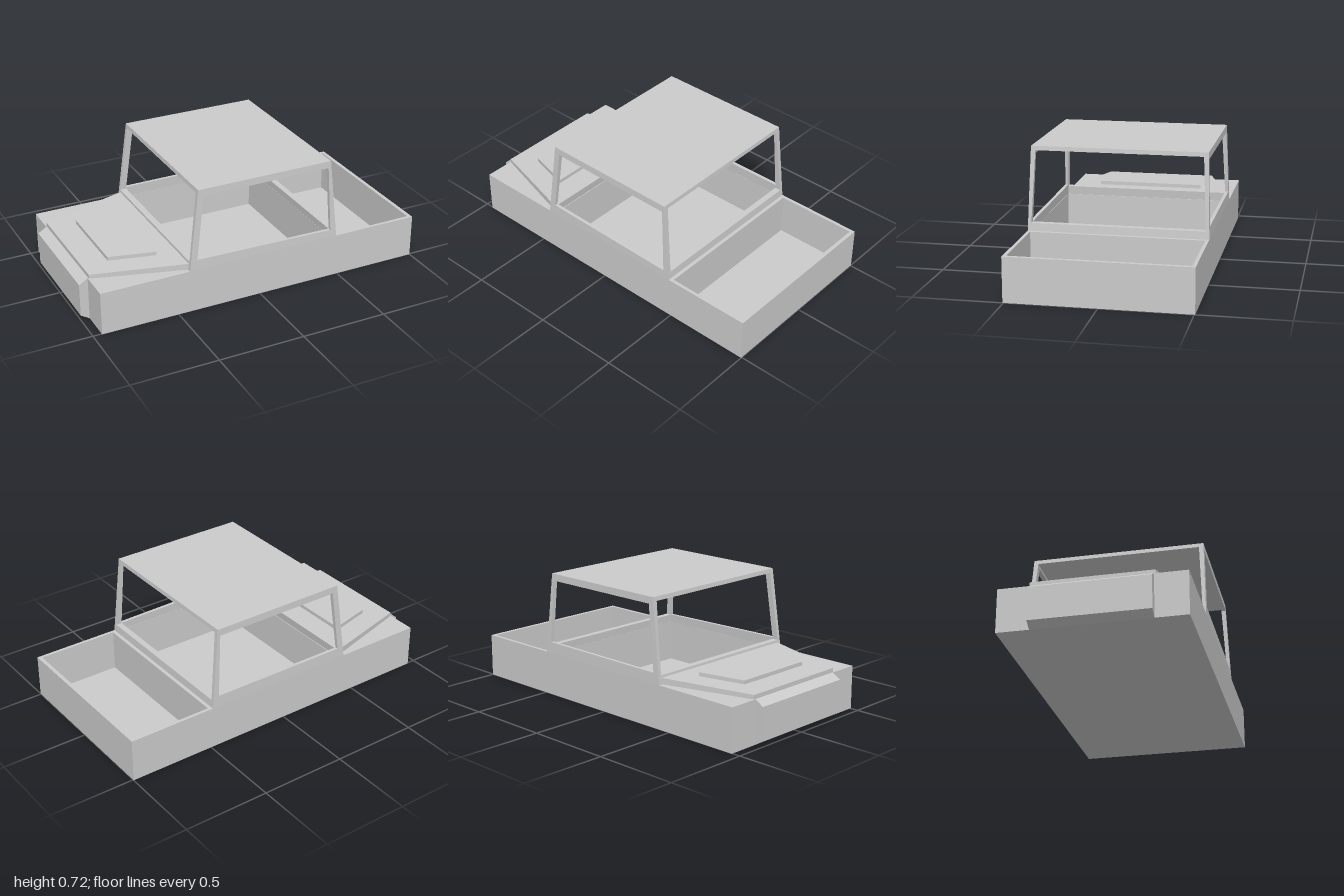
import * as THREE from 'three';

const material = new THREE.MeshStandardMaterial({ color: 0xcccccc, flatShading: true });

// Four corners, counter-clockwise from above; height and width vary along x.
const ring = (x0, x1, y0, y1, lo0, hi0, lo1 = lo0, hi1 = hi0) =>
  [[x0, y0, hi0], [x1, y1, hi1], [x1, y1, lo1], [x0, y0, lo0]];

// Six-sided solid between two rings.
function block(name, bottom, top) {
  const pos = [];
  const face = (a, b, c, d) => pos.push(...a, ...b, ...c, ...a, ...c, ...d);
  face(...top);
  face(...[...bottom].reverse());
  for (let i = 0; i < 4; i++) {
    const j = (i + 1) % 4;
    face(bottom[i], bottom[j], top[j], top[i]);
  }
  const g = new THREE.BufferGeometry();
  g.setAttribute('position', new THREE.Float32BufferAttribute(pos, 3));
  g.computeVertexNormals();
  const m = new THREE.Mesh(g, material);
  m.name = name;
  return m;
}

function rectangle(PathType, x0, x1, z) {
  const p = new PathType();
  p.moveTo(x0, -z);
  p.lineTo(x1, -z);
  p.lineTo(x1, z);
  p.lineTo(x0, z);
  p.closePath();
  return p;
}

const BELT = 0.25, ROOF = 0.72;
// Tapering cabin faces at height y: outer and inner limits.
const taper = (a, b) => (y) => a + (b - a) * (y - BELT) / (ROOF - BELT);
const frontOut = taper(-0.43, -0.37), frontIn = taper(-0.392, -0.335);
const rearOut = taper(0.485, 0.44), rearIn = taper(0.448, 0.423);
const sideOut = taper(0.505, 0.49), sideIn = taper(0.487, 0.464);

// Ring for a part on one side of the cabin.
const sideRing = (s, x0, x1, y0, y1 = y0) => {
  const span = (y) => [s * sideOut(y), s * sideIn(y)].sort((a, b) => a - b);
  return ring(x0, x1, y0, y1, ...span(y0), ...span(y1));
};

function createCabin() {
  const cabin = new THREE.Group();
  cabin.name = 'cabin';
  for (const s of [1, -1]) {
    // Corner pillars
    cabin.add(block('frontPillar',
      sideRing(s, frontOut(BELT), frontIn(BELT), BELT), sideRing(s, frontOut(ROOF), frontIn(ROOF), ROOF)));
    cabin.add(block('rearPillar',
      sideRing(s, rearIn(BELT), rearOut(BELT), BELT), sideRing(s, rearIn(ROOF), rearOut(ROOF), ROOF)));
    // Window sill and header
    const rear = s > 0 ? 0.295 : 0.315;
    cabin.add(block('windowSill',
      sideRing(s, frontIn(BELT), rearIn(BELT), BELT), sideRing(s, frontIn(0.31), rearIn(rear), 0.31, rear)));
    cabin.add(block('windowHeader',
      sideRing(s, frontIn(0.68), rearIn(0.68), 0.68), sideRing(s, frontIn(ROOF), rearIn(ROOF), ROOF)));
  }
  // Cross panels under the windscreen and rear window
  const across = (x0, x1, y) => ring(x0(y), x1(y), y, y, -sideIn(y), sideIn(y));
  cabin.add(block('windscreenSill', across(frontOut, frontIn, BELT), across(frontOut, frontIn, 0.3)));
  cabin.add(block('rearWindowSill', across(rearIn, rearOut, BELT), across(rearIn, rearOut, 0.294)));
  // Roof
  const full = (y) => ring(frontOut(y), rearOut(y), y, y, -sideOut(y), sideOut(y));
  cabin.add(block('roof', full(0.696), full(ROOF)));
  return cabin;
}

export function createModel() {
  const model = new THREE.Group();
  model.name = 'pickupTruck';

  // Body shell, open at the cabin and the cargo bed
  const plan = rectangle(THREE.Shape, -0.95, 1, 0.505);
  plan.holes.push(rectangle(THREE.Path, -0.388, 0.447, 0.486), rectangle(THREE.Path, 0.506, 0.978, 0.486));
  const bodyGeo = new THREE.ExtrudeGeometry(plan, { depth: BELT, bevelEnabled: false });
  bodyGeo.rotateX(-Math.PI / 2);
  const body = new THREE.Mesh(bodyGeo, material);
  body.name = 'body';
  model.add(body);

  // Thin floor closing the cabin and bed
  model.add(block('floor', ring(-0.4, 0.99, 0, 0, -0.495, 0.495), ring(-0.4, 0.99, 0.006, 0.006, -0.495, 0.495)));

  // Nose with sloped top and bottom edges
  model.add(block('grille',
    ring(-1, -0.95, 0.03, 0, -0.325, 0.325), ring(-1, -0.95, 0.22, BELT, -0.325, 0.325)));

  // Tapered hood and its raised centre
  const hood = (y0, y1) => ring(-0.945, -0.425, y0, y1, -0.332, 0.332, -0.482, 0.482);
  model.add(block('hood', hood(BELT, BELT), hood(0.274, 0.286)));
  const scoop = (y0, y1) => ring(-0.8, -0.54, y0, y1, -0.24, 0.24, -0.313, 0.313);
  model.add(block('hoodScoop', scoop(0.27, 0.275), scoop(0.299, 0.305)));

  model.add(createCabin());
  return model;
}
